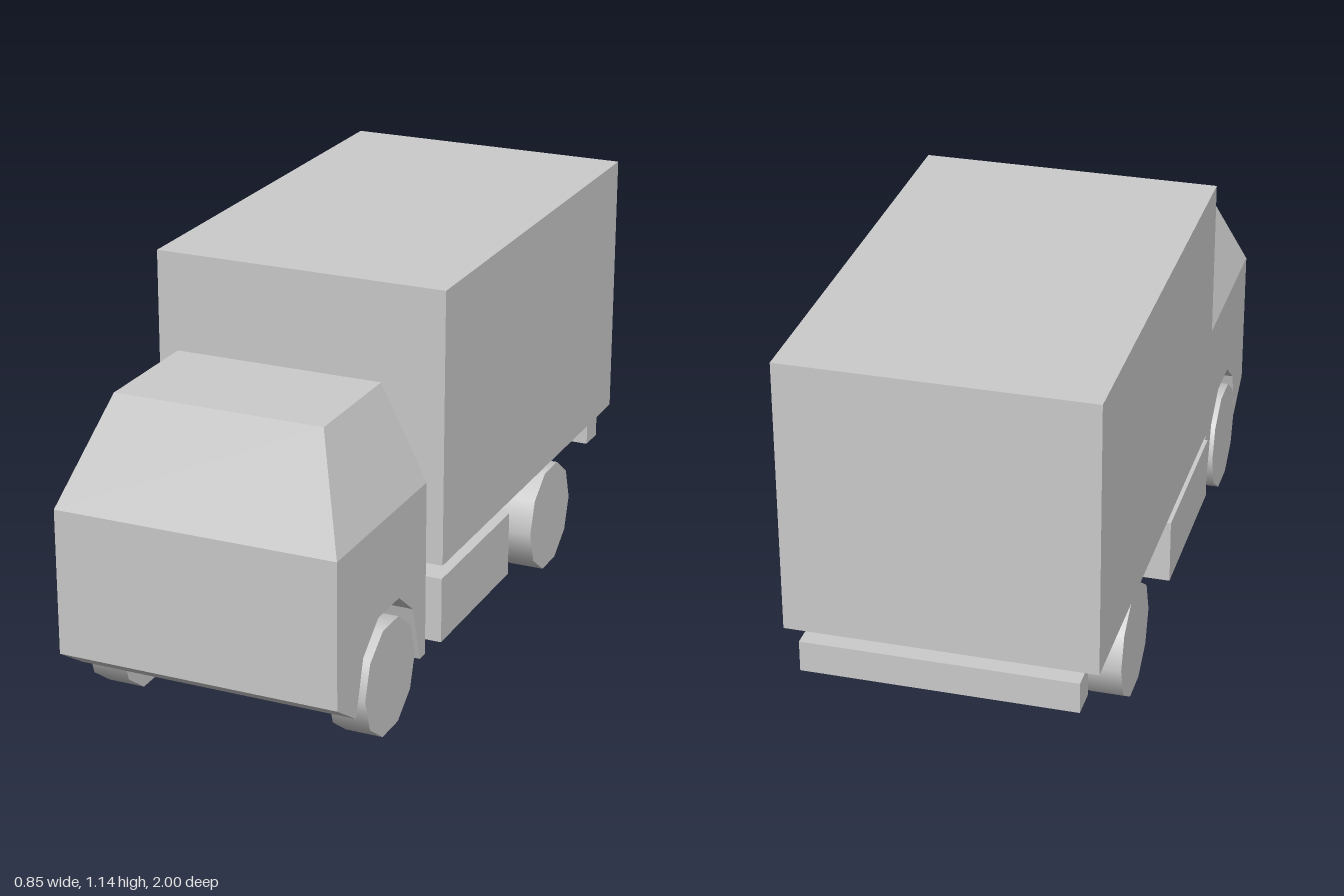
import * as THREE from 'three';

const material = new THREE.MeshStandardMaterial({ color: 0xcccccc, flatShading: true });
const smooth = new THREE.MeshStandardMaterial({ color: 0xcccccc });

export function createModel() {
  const truck = new THREE.Group();
  truck.name = 'boxTruck';

  const add = (name, geometry, mat = material) => {
    const mesh = new THREE.Mesh(geometry, mat);
    mesh.name = name;
    truck.add(mesh);
    return mesh;
  };

  // Box given by its min and max on each axis
  const block = (name, [x0, x1], [y0, y1], [z0, z1]) =>
    add(name, new THREE.BoxGeometry(x1 - x0, y1 - y0, z1 - z0))
      .position.set((x0 + x1) / 2, (y0 + y1) / 2, (z0 + z1) / 2);

  // Side profile of [z, y] points extruded between two x positions
  const slab = (name, profile, x0, x1) => {
    const shape = new THREE.Shape(profile.map(([z, y]) => new THREE.Vector2(z, y)));
    const geometry = new THREE.ExtrudeGeometry(shape, { depth: x1 - x0, bevelEnabled: false });
    geometry.rotateY(-Math.PI / 2).translate(x1, 0, 0);
    add(name, geometry);
  };

  // Lower cab: plain core with an arched slab on each side
  const front = [[0.43, 0.11], [0.43, 0.615], [1, 0.615], [1, 0.2], [0.885, 0.125]];
  const arch = [[0.84, 0.28], [0.745, 0.353], [0.61, 0.353], [0.515, 0.28], [0.465, 0.11]];
  slab('cabCore', front, -0.255, 0.255);
  slab('cabLeftSide', [...front, ...arch], 0.255, 0.405);
  slab('cabRightSide', [...front, ...arch], -0.405, -0.255);

  // Upper cab: a box whose top corners are drawn inwards
  const roof = new THREE.BoxGeometry(0.81, 0.29, 0.57);
  roof.translate(0, 0.76, 0.715);
  const p = roof.attributes.position;
  for (let i = 0; i < p.count; i++) {
    if (p.getY(i) < 0.8) continue;
    p.setX(i, Math.sign(p.getX(i)) * 0.3);
    p.setZ(i, p.getZ(i) > 0.7 ? 0.85 : 0.495);
  }
  roof.computeVertexNormals();
  add('cabUpper', roof);

  // Cargo body and rear bumper
  block('cargoBody', [-0.427, 0.427], [0.35, 1.135], [-0.985, 0.365]);
  block('rearBumper', [-0.38, 0.38], [0.235, 0.325], [-1, -0.915]);

  // Frame cross members
  for (const z of [-0.82, -0.53, -0.01])
    block('crossMember', [-0.1, 0.1], [0.265, 0.305], [z - 0.025, z + 0.025]);

  for (const side of [-1, 1]) {
    const span = (a, b) => [side * a, side * b].sort((m, n) => m - n);

    // Frame rail, side locker and the brackets holding it
    block('frameRail', span(0.1, 0.15), [0.26, 0.31], [-0.915, 0.45]);
    block('sideLocker', span(0.255, 0.425), [0.12, 0.31], [-0.135, 0.365]);
    for (const z of [-0.08, 0.28])
      block('lockerBracket', span(0.14, 0.27), [0.265, 0.305], [z - 0.02, z + 0.02]);

    // Ten-sided wheels, flat side up
    for (const z of [0.68, -0.51]) {
      const wheel = new THREE.CylinderGeometry(0.163, 0.163, 0.107, 10);
      wheel.rotateZ(Math.PI / 2);
      add(z > 0 ? 'frontWheel' : 'rearWheel', wheel, smooth)
        .position.set(side * 0.3585, 0.155, z);
    }

    // Sloping half axle from the rail down to the rear wheel
    const from = new THREE.Vector3(side * 0.12, 0.285, -0.51);
    const to = new THREE.Vector3(side * 0.32, 0.15, -0.51);
    const strut = add('rearHalfAxle', new THREE.BoxGeometry(from.distanceTo(to), 0.03, 0.04));
    strut.position.copy(from).lerp(to, 0.5);
    strut.rotation.z = Math.atan2(to.y - from.y, to.x - from.x);
  }

  return truck;
}
